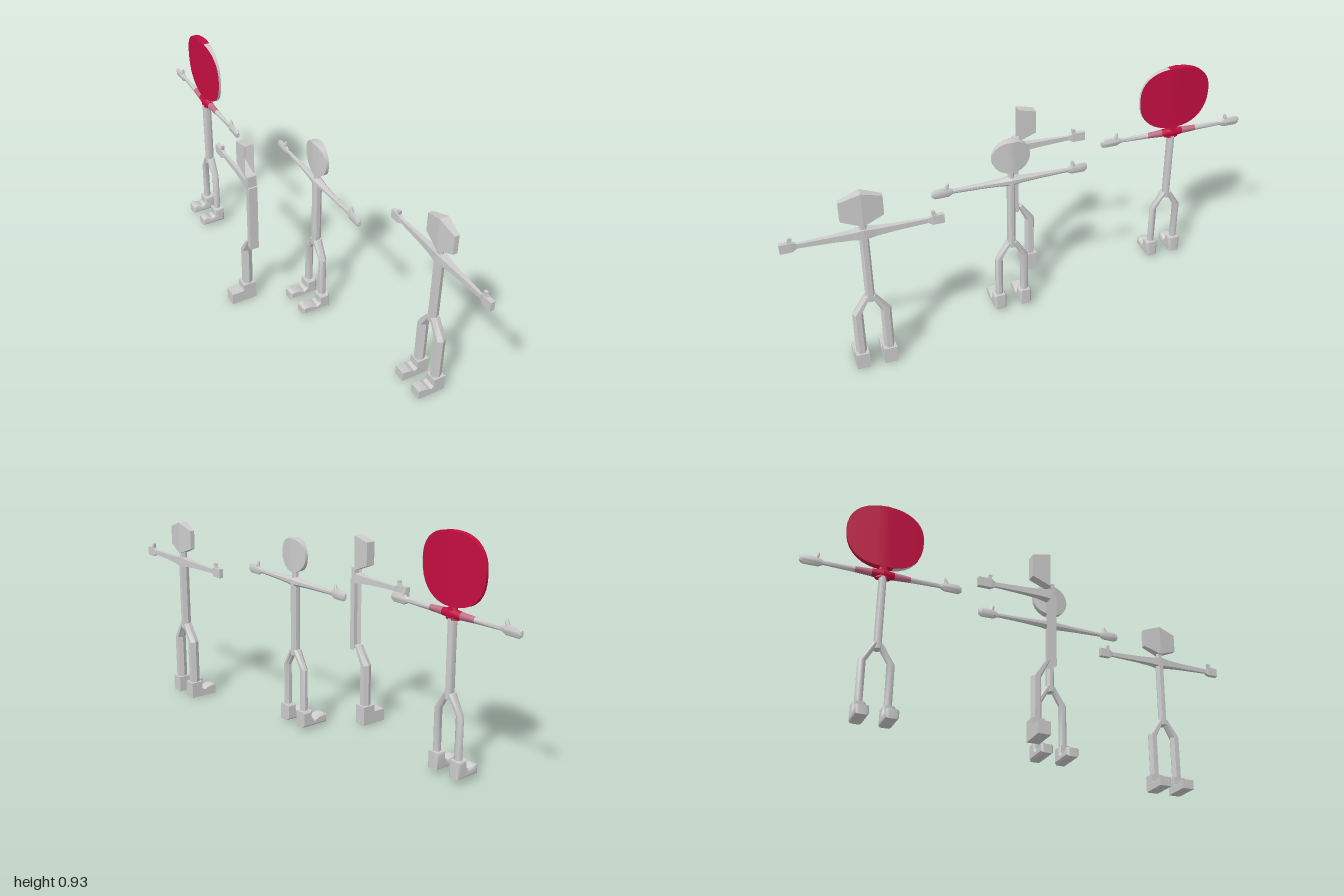
import * as THREE from 'three';
import { toCreasedNormals } from 'three/addons/utils/BufferGeometryUtils.js';

const GREY = 0xcccccc, RED = 0xc40e40, PINK = 0xc2708a;

// Skin a list of equal-length point rings; open rings leave a gap, caps close the ends
function loft(rings, { closed = true, capStart = true, capEnd = true } = {}) {
  const n = rings[0].length, tris = [];
  for (let r = 0; r < rings.length - 1; r++) {
    for (let i = 0; i < (closed ? n : n - 1); i++) {
      const j = (i + 1) % n;
      const a = rings[r][i], b = rings[r][j], c = rings[r + 1][j], d = rings[r + 1][i];
      tris.push([a, b, c], [a, c, d]);
    }
  }
  for (let i = 1; i < n - 1; i++) {
    if (capStart) tris.push([rings[0][0], rings[0][i + 1], rings[0][i]]);
    const e = rings[rings.length - 1];
    if (capEnd) tris.push([e[0], e[i], e[i + 1]]);
  }
  // Turn the faces outward
  const all = rings.flat(), mid = new THREE.Vector3();
  all.forEach(p => mid.addScaledVector(p, 1 / all.length));
  let volume = 0;
  for (const [a, b, c] of tris) {
    volume += a.clone().sub(mid).dot(b.clone().sub(mid).cross(c.clone().sub(mid)));
  }
  const pts = tris.flatMap(([a, b, c]) => (volume < 0 ? [a, c, b] : [a, b, c]));
  const geo = new THREE.BufferGeometry().setFromPoints(pts);
  geo.computeVertexNormals();
  return geo;
}

// Unit outline with n sides reaching +-1 on both axes
function outline(n) {
  const pts = [];
  for (let i = 0; i < n; i++) {
    const a = ((i + (n === 6 ? 0 : 0.5)) / n) * Math.PI * 2, s = 1 / Math.cos(Math.PI / n);
    pts.push([Math.sin(a) * s, Math.cos(a) * (n === 6 ? 1 : s)]);
  }
  return pts;
}
const V = (x, y, z) => new THREE.Vector3(x, y, z);
// Section [y, z, rx, rz] of an upright limb, and [z, y, rx, ry] of a sideways one
const upright = (n, list) => list.map(([y, z, rx, rz]) => outline(n).map(([u, v]) => V(u * rx, y, z + v * rz)));
const sideways = (n, list) => list.map(([z, y, rx, ry]) => outline(n).map(([u, v]) => V(u * rx, y + v * ry, z)));
// Upright box section cut open at z = 0
const halfUpright = list => list.map(([y, , rx, rz]) => [V(-rx, y, 0), V(-rx, y, rz), V(rx, y, rz), V(rx, y, 0)]);

// Sole, toe with a dip, and ankle block
function shoeGeometry({ toe, heel, ankle, bottom, toeTop, top, dip, bevel, segments }) {
  const s = new THREE.Shape();
  s.moveTo(toe, bottom);
  s.lineTo(heel, bottom);
  s.lineTo(heel, top);
  s.lineTo(ankle, top);
  s.lineTo(ankle, toeTop - dip * 0.3);
  if (dip) {
    s.lineTo(ankle - 0.012, toeTop - dip);
    s.lineTo(ankle - 0.03, toeTop - dip * 0.3);
    s.lineTo(toe + 0.015, toeTop);
  }
  s.lineTo(toe, toeTop - (bevel ? 0.006 : 0));
  const width = 0.052;
  const geo = new THREE.ExtrudeGeometry(s, {
    depth: width - 2 * bevel, bevelEnabled: bevel > 0, bevelSize: bevel,
    bevelThickness: bevel, bevelOffset: -bevel, bevelSegments: segments,
  });
  return geo.translate(0, 0, 0.055 - width / 2 + bevel);
}

// Disc head: thick in the middle, thin at the rim; entries are [z, yLow, yHigh, rx]
function discSections({ r, mid, up, down, thick, rim, steps, power }) {
  const list = [];
  for (let i = 0; i <= steps; i++) {
    const a = (Math.PI * i) / steps, c = Math.cos(a), h = Math.max(Math.sin(a), 0.01) ** power;
    const z = -r * Math.sign(c) * Math.abs(c) ** power;
    list.push([z, mid - down * h, mid + up * h, thick + (rim - thick) * Math.abs(z) / r]);
  }
  return list;
}
const headRings = list => list.map(([z, lo, hi, rx]) => [V(-rx, lo, z), V(rx, lo, z), V(rx, hi, z), V(-rx, hi, z)]);

function makeFigure(f) {
  const figure = new THREE.Group();
  figure.name = f.name;
  figure.position.set(f.x, 0, f.z);
  const add = (name, geo, color = GREY, parent = figure) => {
    const mat = new THREE.MeshStandardMaterial({ color, side: THREE.DoubleSide, flatShading: !f.crease });
    const mesh = new THREE.Mesh(f.crease ? toCreasedNormals(geo, f.crease) : geo, mat);
    mesh.name = name;
    parent.add(mesh);
  };

  // Trunk, neck and head
  const accent = f.accent ?? GREY, cut = { closed: false, capStart: false };
  const trunk = [[0.315, 0, 0.019, f.trunk], [0.62, 0, 0.019, f.trunk]];
  add('torso', f.half ? loft(halfUpright(trunk), cut) : loft(upright(f.sides, trunk)));
  add('neck', f.half ? loft(halfUpright(f.neck), cut) : loft(upright(f.sides, f.neck)), accent);
  add('head', loft(headRings(f.head), { capStart: !f.half }), accent);
  if (f.accent) {
    // Pale strip around one edge of the head
    const side = f.head.filter(([z]) => z > 0.03);
    const path = [...side.map(([z, , hi, rx]) => [z, hi, rx]), ...side.reverse().map(([z, lo, , rx]) => [z, lo, rx])];
    const strip = path.map(([z, y, rx]) => [V(-rx, y + Math.sign(y - 0.81) * 0.001, z + 0.001),
      V(rx, y + Math.sign(y - 0.81) * 0.001, z + 0.001)]);
    add('headEdge', loft(strip, { closed: false, capStart: false, capEnd: false }));
  }

  // Limbs on each side
  for (const side of f.half ? [-1] : [1, -1]) {
    const limb = new THREE.Group();
    limb.name = side > 0 ? 'limbsPlusZ' : 'limbsMinusZ';
    limb.scale.z = side;
    figure.add(limb);
    const y = f.armY, end = f.reach, h = f.handStart;
    const arm = [[0, y, 0.019, 0.021], [0.045, y, 0.014, 0.015], [0.11, y, 0.01, 0.012], [h, y, 0.005, 0.009]];
    const open = { capStart: false };
    if (f.accent) {
      add('chest', loft(sideways(f.sides, arm.slice(0, 2)), open), RED, limb);
      add('shoulder', loft(sideways(f.sides, arm.slice(1, 3)), open), PINK, limb);
      add('arm', loft(sideways(f.sides, arm.slice(2)), open), GREY, limb);
    } else {
      add('arm', loft(sideways(f.armSides, arm), open), GREY, limb);
    }
    const round = f.crease ? 0.6 : 1;
    add('hand', loft(sideways(f.armSides, [
      [h - 0.005, y, 0.005, 0.009], [h + 0.014, y, 0.009, 0.019],
      [end - 0.012, y, 0.009, 0.019], [end, y, 0.009 * round, 0.019 * round]])), GREY, limb);
    add('thumb', loft(upright(f.armSides, [
      [y + 0.01, h + 0.024, 0.007, 0.009], [y + 0.03, h + 0.018, 0.006, 0.007],
      [y + 0.038, h + 0.017, 0.006 * round, 0.007 * round]])), GREY, limb);
    const { rx, rz } = f.leg;
    add('leg', loft(upright(f.sides, [
      [f.shoe.top - 0.01, 0.055, rx, rz], [0.262, 0.055, rx, rz], [0.338, 0.009, 0.0185, 0.012]])), GREY, limb);
    add('shoe', shoeGeometry(f.shoe), GREY, limb);
  }
  return figure;
}

export function createModel() {
  const model = new THREE.Group();
  model.name = 'stickFigures';
  const hexHead = [[-0.08, 0.69, 0.77, 0.01], [0, 0.66, 0.797, 0.02], [0.08, 0.69, 0.77, 0.01]];
  const figures = [
    {
      name: 'blockFigure', x: 0.223, z: 0.697, sides: 6, armSides: 4, trunk: 0.018, head: hexHead,
      neck: [[0.61, 0, 0.012, 0.014], [0.675, 0, 0.012, 0.014]],
      armY: 0.621, reach: 0.303, handStart: 0.245, leg: { rx: 0.02, rz: 0.021 },
      shoe: { toe: -0.093, heel: 0.027, ankle: -0.025, bottom: 0.006, toeTop: 0.046, top: 0.075, dip: 0.013, bevel: 0, segments: 0 },
    },
    {
      name: 'bevelledFigure', x: 0.07, z: 0.08, sides: 8, armSides: 8, trunk: 0.015, crease: 0.5,
      head: discSections({ r: 0.078, mid: 0.738, up: 0.068, down: 0.07, thick: 0.02, rim: 0.006, steps: 10, power: 0.95 }),
      neck: [[0.61, 0, 0.014, 0.022], [0.645, 0, 0.012, 0.012], [0.68, 0, 0.014, 0.013]],
      armY: 0.626, reach: 0.32, handStart: 0.24, leg: { rx: 0.015, rz: 0.015 },
      shoe: { toe: -0.103, heel: 0.025, ankle: -0.025, bottom: 0.016, toeTop: 0.058, top: 0.086, dip: 0.014, bevel: 0.008, segments: 1 },
    },
    {
      name: 'halfFigure', x: -0.171, z: -0.03, half: true, sides: 6, armSides: 4, trunk: 0.025,
      head: [[0, 0.66, 0.805, 0.02], [-0.076, 0.69, 0.787, 0.02]],
      neck: [[0.61, 0, 0.02, 0.018], [0.67, 0, 0.02, 0.018]],
      armY: 0.625, reach: 0.3, handStart: 0.232, leg: { rx: 0.02, rz: 0.021 },
      shoe: { toe: -0.084, heel: 0.028, ankle: -0.029, bottom: 0.003, toeTop: 0.055, top: 0.085, dip: 0, bevel: 0, segments: 0 },
    },
    {
      name: 'smoothFigure', x: -0.06, z: -0.68, sides: 14, armSides: 12, trunk: 0.015, crease: 0.9, accent: RED,
      head: discSections({ r: 0.155, mid: 0.81, up: 0.125, down: 0.147, thick: 0.016, rim: 0.005, steps: 18, power: 0.85 }),
      neck: [[0.615, 0, 0.017, 0.03], [0.645, 0, 0.015, 0.022], [0.675, 0, 0.013, 0.013]],
      armY: 0.635, reach: 0.32, handStart: 0.235, leg: { rx: 0.014, rz: 0.015 },
      shoe: { toe: -0.083, heel: 0.025, ankle: -0.025, bottom: 0.021, toeTop: 0.064, top: 0.092, dip: 0.012, bevel: 0.012, segments: 4 },
    },
  ];
  figures.forEach(f => model.add(makeFigure(f)));
  return model;
}
